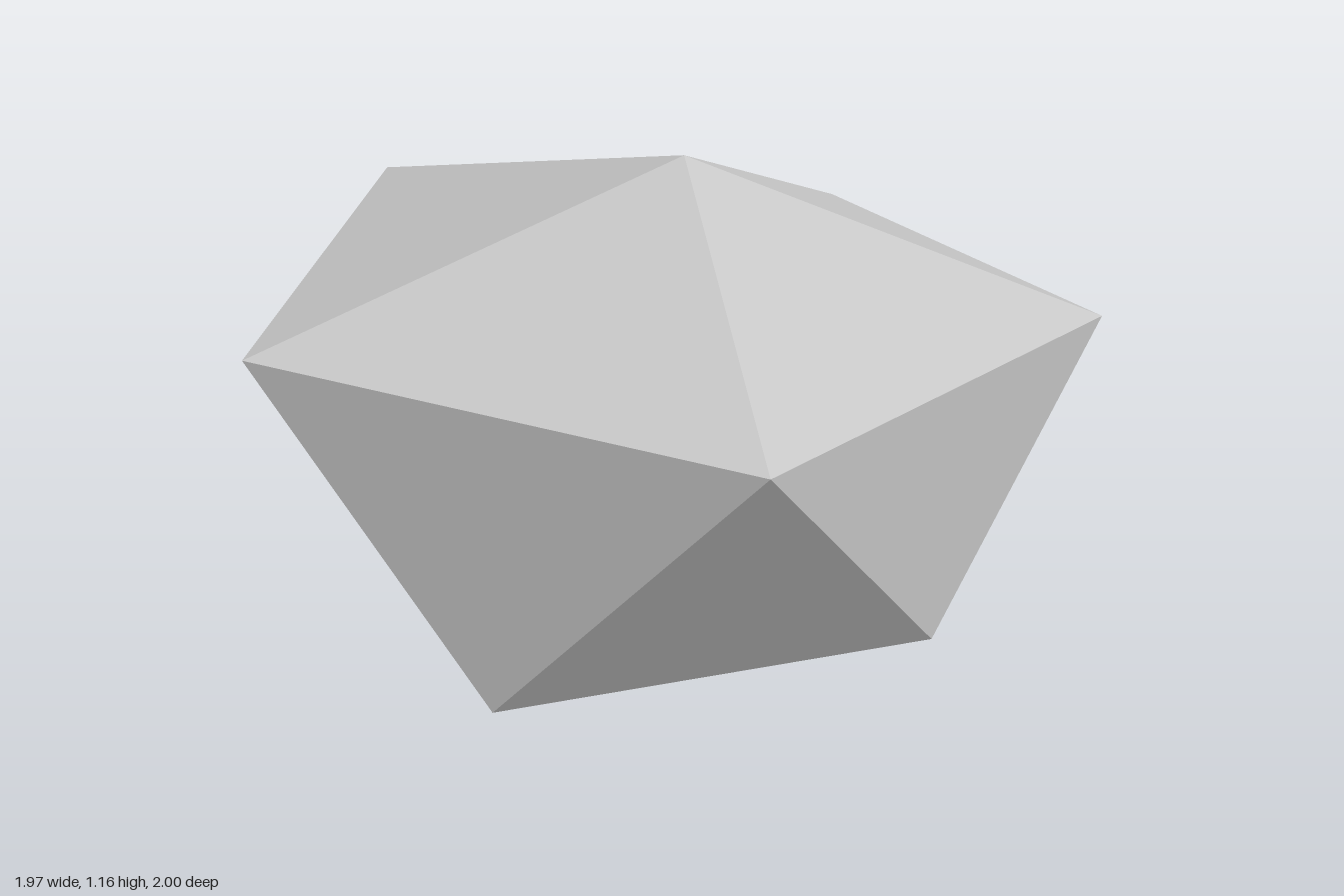
import * as THREE from 'three';

// Irregular low-poly boulder: two staggered five-point rings closed by a peak and a foot.
export function createModel() {
  const group = new THREE.Group();
  group.name = 'boulder';

  const stone = new THREE.MeshStandardMaterial({ color: 0xc8c8c8 });
  stone.name = 'light stone grey';

  const peak = [-0.05, 1.16, -0.15];
  const foot = [-0.05, 0, -0.15];
  // Both rings run anticlockwise seen from above; each lower point sits between two upper ones
  const upper = [[-0.985, 0.845, 0.53], [0.32, 0.863, 1], [0.983, 0.802, -0.15], [0.222, 0.755, -1], [-0.975, 0.83, -0.82]];
  const lower = [[-0.355, 0.1, 0.778], [0.63, 0.146, 0.35], [0.737, 0.1, -0.722], [-0.31, 0.152, -0.933], [-0.918, 0.14, -0.155]];

  const points = [];
  for (let i = 0; i < 5; i++) {
    const j = (i + 1) % 5;
    points.push(
      peak, upper[i], upper[j],        // cap
      upper[i], lower[i], upper[j],    // side, pointing down
      lower[i], lower[j], upper[j],    // side, pointing up
      foot, lower[j], lower[i],        // underside
    );
  }

  // Unshared corners give flat facets
  const geometry = new THREE.BufferGeometry();
  geometry.setAttribute('position', new THREE.Float32BufferAttribute(points.flat(), 3));
  geometry.computeVertexNormals();

  const rock = new THREE.Mesh(geometry, stone);
  rock.name = 'rock';
  group.add(rock);
  return group;
}
